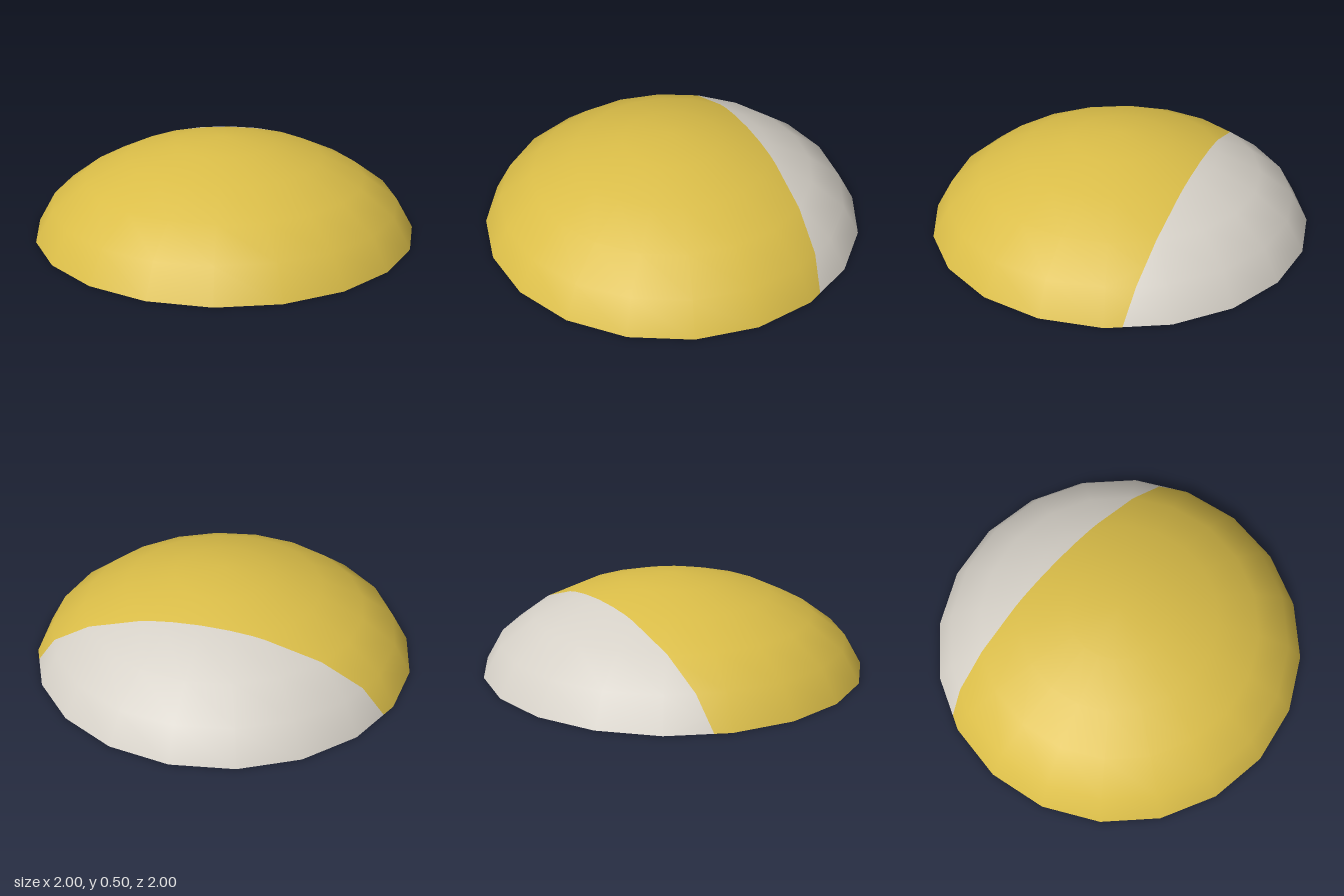
import * as THREE from 'three';

const SIDES = 20;
const mat = (name, color, side = THREE.FrontSide) => {
  const m = new THREE.MeshStandardMaterial({ color, side });
  m.name = name;
  return m;
};
const points = (list) => list.map(([r, y]) => new THREE.Vector2(r, y));

// Keeps the part of a geometry where dist(point) > 0, cutting triangles cleanly
function clip(geometry, dist) {
  const g = geometry.toNonIndexed();
  const P = g.attributes.position, N = g.attributes.normal;
  const pos = [], nor = [];
  for (let i = 0; i < P.count; i += 3) {
    const tri = [0, 1, 2].map((k) => {
      const p = new THREE.Vector3().fromBufferAttribute(P, i + k);
      return { p, n: new THREE.Vector3().fromBufferAttribute(N, i + k), d: dist(p) };
    });
    const poly = [];
    tri.forEach((a, k) => {
      const b = tri[(k + 1) % 3];
      if (a.d >= 0) poly.push(a);
      if (a.d * b.d < 0) {
        const t = a.d / (a.d - b.d);
        poly.push({ p: a.p.clone().lerp(b.p, t), n: a.n.clone().lerp(b.n, t).normalize() });
      }
    });
    for (let k = 1; k + 1 < poly.length; k++) {
      for (const v of [poly[0], poly[k], poly[k + 1]]) {
        pos.push(...v.p.toArray());
        nor.push(...v.n.toArray());
      }
    }
  }
  const out = new THREE.BufferGeometry();
  out.setAttribute('position', new THREE.Float32BufferAttribute(pos, 3));
  out.setAttribute('normal', new THREE.Float32BufferAttribute(nor, 3));
  return out;
}

// Flat ring of rectangular section standing on height y
function ringGeometry(outer, inner, y, height) {
  const s = new THREE.Shape().absarc(0, 0, outer, 0, Math.PI * 2);
  s.holes.push(new THREE.Path().absarc(0, 0, inner, 0, Math.PI * 2, true));
  return new THREE.ExtrudeGeometry(s, { depth: height, bevelEnabled: false, curveSegments: 40 })
    .rotateX(-Math.PI / 2).translate(0, y, 0);
}

// Straight bar in the x-y plane from (r0, y0) to (r1, y1)
function barGeometry([r0, y0], [r1, y1], depth, width) {
  const length = Math.hypot(r1 - r0, y1 - y0);
  return new THREE.BoxGeometry(length, depth, width)
    .rotateZ(Math.atan2(y0 - y1, r0 - r1))
    .translate((r0 + r1) / 2, (y0 + y1) / 2, 0);
}

export function createModel() {
  const model = new THREE.Group();
  model.name = 'dome';
  const yellow = mat('yellow shell', 0xdabd48, THREE.DoubleSide);
  const pale = mat('pale grey shell', 0xd5d0c7, THREE.DoubleSide);
  const ribGrey = mat('rib pale grey', 0xdcdad6);
  const ringGrey = mat('ring grey', 0xa8a8aa);

  const add = (name, geometry, material, parent = model) => {
    const m = new THREE.Mesh(geometry, material);
    m.name = name;
    parent.add(m);
    return m;
  };

  // Twenty-sided shell, divided into two colours by a slanting plane
  const profile = points([[1.0125, 0], [0.921, 0.16], [0.744, 0.29], [0.52, 0.395], [0.263, 0.462], [0, 0.495]]);
  const shell = new THREE.LatheGeometry(profile, SIDES, Math.PI / SIDES);
  // The apex normals point straight up, so the crown shades smoothly
  for (let i = profile.length - 1; i < shell.attributes.normal.count; i += profile.length) {
    shell.attributes.normal.setXYZ(i, 0, 1, 0);
  }
  const divide = (p) => p.x - p.z - 0.2 * p.y - 0.55;
  add('yellowShell', clip(shell, (p) => -divide(p)), yellow);
  add('paleShell', clip(shell, divide), pale);

  // Flat-panelled lining running straight from rim to ring to hub
  const lining = new THREE.LatheGeometry(
    points([[1.0125, 0], [0.66, 0.28], [0.24, 0.41], [0, 0.43]]), SIDES, Math.PI / SIDES).toNonIndexed();
  lining.computeVertexNormals();
  add('lining', lining, yellow);

  // Supporting rings and hub
  add('middleRing', ringGeometry(0.66, 0.605, 0.225, 0.06), ringGrey);
  add('innerRing', ringGeometry(0.24, 0.215, 0.38, 0.03), ringGrey);
  add('hub', new THREE.CylinderGeometry(0.015, 0.015, 0.02, 12).translate(0, 0.415, 0), ringGrey);

  // Radial bars in three tiers, one set under each facet
  const tiers = [
    ['outerRib', barGeometry([0.965, 0.02], [0.645, 0.25], 0.03, 0.016), ribGrey],
    ['middleRib', barGeometry([0.62, 0.262], [0.23, 0.393], 0.01, 0.011), ringGrey],
    ['middleRibWeb', barGeometry([0.62, 0.277], [0.23, 0.403], 0.02, 0.007), yellow],
    ['innerRib', barGeometry([0.23, 0.395], [0.01, 0.415], 0.01, 0.007), ringGrey],
  ];
  for (const [name, geometry, material] of tiers) {
    const group = new THREE.Group();
    group.name = name + 's';
    model.add(group);
    for (let i = 0; i < SIDES; i++) {
      add(name, geometry, material, group).rotation.y = (i / SIDES) * Math.PI * 2;
    }
  }
  return model;
}
